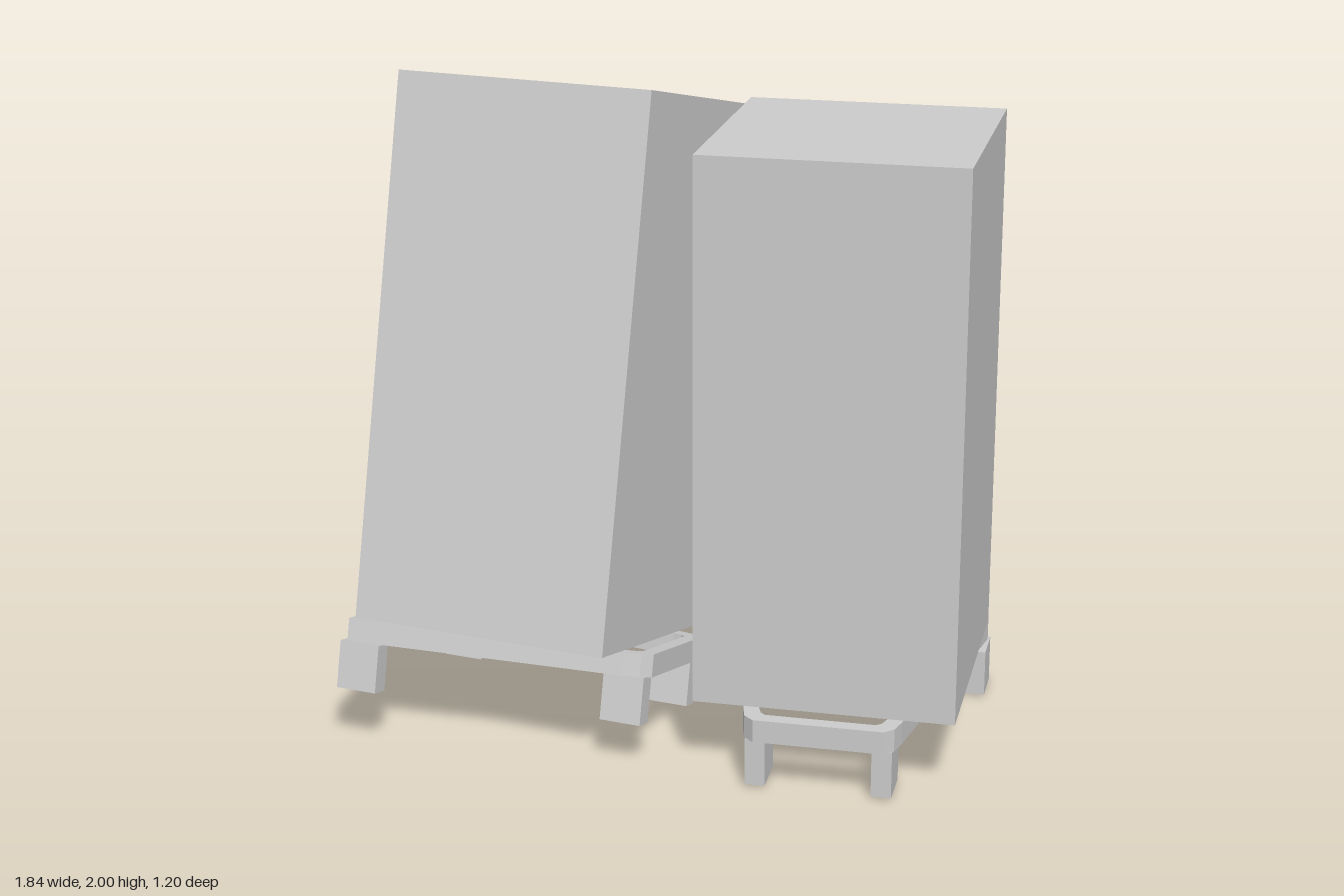
import * as THREE from 'three';

const mat = new THREE.MeshStandardMaterial({ color: 0xcccccc, flatShading: true });

function addBox(parent, name, [w, h, d], [x, y, z]) {
  const mesh = new THREE.Mesh(new THREE.BoxGeometry(w, h, d), mat);
  mesh.name = name;
  mesh.position.set(x, y, z);
  parent.add(mesh);
}

// U-shaped rail, narrow at the front and open at the back
function makeRail() {
  const outer = [[0.388, -0.43], [0.236, 0.41], [0.222, 0.463], [0.192, 0.49]];
  const inner = [[0.165, 0.445], [0.18, 0.43], [0.19, 0.40], [0.343, -0.43]];
  const mirror = (pts) => pts.map(([x, z]) => [-x, z]).reverse();
  const outline = [...outer, ...mirror(outer), ...mirror(inner), ...inner];
  // the inner run goes back from left to right to close the U
  const shape = new THREE.Shape(outline.map(([x, z]) => new THREE.Vector2(x, -z)));
  const geo = new THREE.ExtrudeGeometry(shape, { depth: 0.07, bevelEnabled: false });
  geo.rotateX(-Math.PI / 2);
  const rail = new THREE.Mesh(geo, mat);
  rail.name = 'standRail';
  rail.position.y = 0.145;
  return rail;
}

// Tall plain cabinet on a four-footed stand
function makeSpeaker(name) {
  const g = new THREE.Group();
  g.name = name;
  addBox(g, 'cabinet', [0.78, 1.65, 0.815], [0, 1.045, 0]);
  g.add(makeRail());
  for (const s of [-1, 1]) {
    addBox(g, 'frontFoot', [0.06, 0.145, 0.13], [s * 0.188, 0.0725, 0.41]);
    addBox(g, 'backFoot', [0.06, 0.145, 0.13], [s * 0.364, 0.0725, -0.385]);
  }
  return g;
}

export function createModel() {
  const model = new THREE.Group();
  model.name = 'cabinetPair';

  // upright cabinet, slightly turned
  const upright = makeSpeaker('uprightCabinet');
  upright.position.set(0.47, 0.01, -0.0925);
  upright.rotation.y = 0.166;
  model.add(upright);

  // second cabinet, turned sideways and leaning back
  const leaning = makeSpeaker('leaningCabinet');
  leaning.position.set(-0.47, 0.095, 0.2165);
  leaning.rotation.set(-0.238, Math.PI / 2, 0);
  model.add(leaning);

  return model;
}
